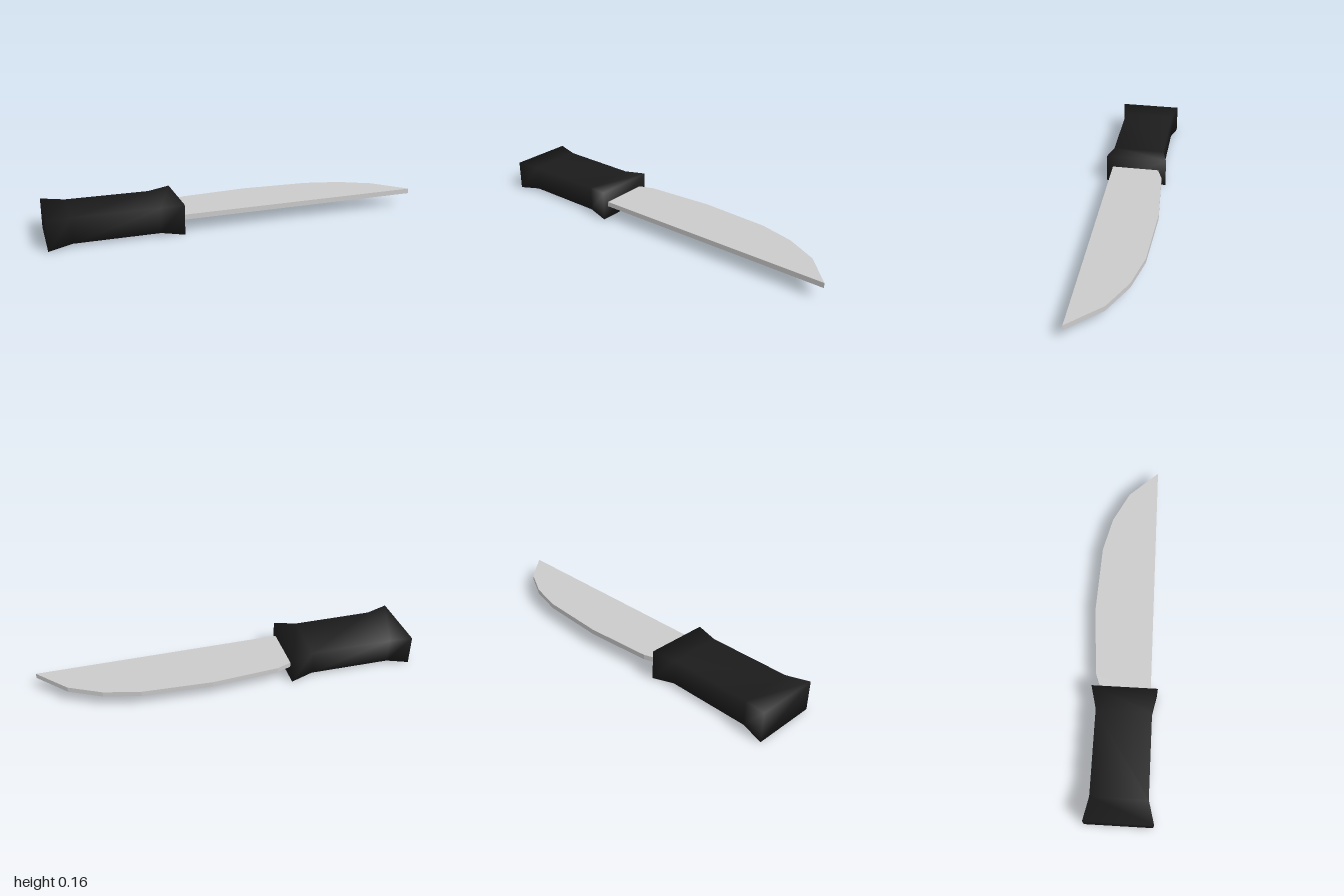
import * as THREE from 'three';
import { mergeVertices } from 'three/addons/utils/BufferGeometryUtils.js';

// Handle stations along x: [x, bottom, top, back z, front z]
const STATIONS = [
  [-1.0, 0.0, 0.16, -0.165, 0.183],
  [-0.88, 0.015, 0.15, -0.14, 0.152],
  [-0.44, 0.015, 0.15, -0.14, 0.148],
  [-0.32, 0.0, 0.16, -0.17, 0.172],
];

// Blade outline as [x, z]: straight front edge, then the curved back
const OUTLINE = [
  [-0.33, 0.137], [1.0, 0.118], [0.85, -0.04], [0.68, -0.125],
  [0.49, -0.17], [0.12, -0.185], [-0.24, -0.155], [-0.33, -0.122],
];

// Four-sided grip flared at both ends, with smooth shared normals
function createHandle() {
  let geometry = new THREE.BoxGeometry(3, 1, 1, 3, 1, 1);
  const p = geometry.attributes.position;
  for (let i = 0; i < p.count; i++) {
    const [x, bottom, top, back, front] = STATIONS[Math.round(p.getX(i) + 1.5)];
    p.setXYZ(i, x, p.getY(i) > 0 ? top : bottom, p.getZ(i) > 0 ? front : back);
  }
  geometry.deleteAttribute('normal');
  geometry.deleteAttribute('uv');
  geometry = mergeVertices(geometry);
  geometry.computeVertexNormals();
  const handle = new THREE.Mesh(geometry, new THREE.MeshStandardMaterial({ color: 0x1c1c1c }));
  handle.name = 'handle';
  return handle;
}

// Flat blade of even thickness, lying on its side
function createBlade() {
  const shape = new THREE.Shape(OUTLINE.map(([x, z]) => new THREE.Vector2(x, -z)));
  const geometry = new THREE.ExtrudeGeometry(shape, { depth: 0.027, bevelEnabled: false });
  geometry.rotateX(-Math.PI / 2);
  geometry.translate(0, 0.068, 0);
  const blade = new THREE.Mesh(geometry, new THREE.MeshStandardMaterial({ color: 0xcccccc }));
  blade.name = 'blade';
  return blade;
}

export function createModel() {
  const knife = new THREE.Group();
  knife.name = 'knife';
  knife.add(createHandle(), createBlade());
  return knife;
}
